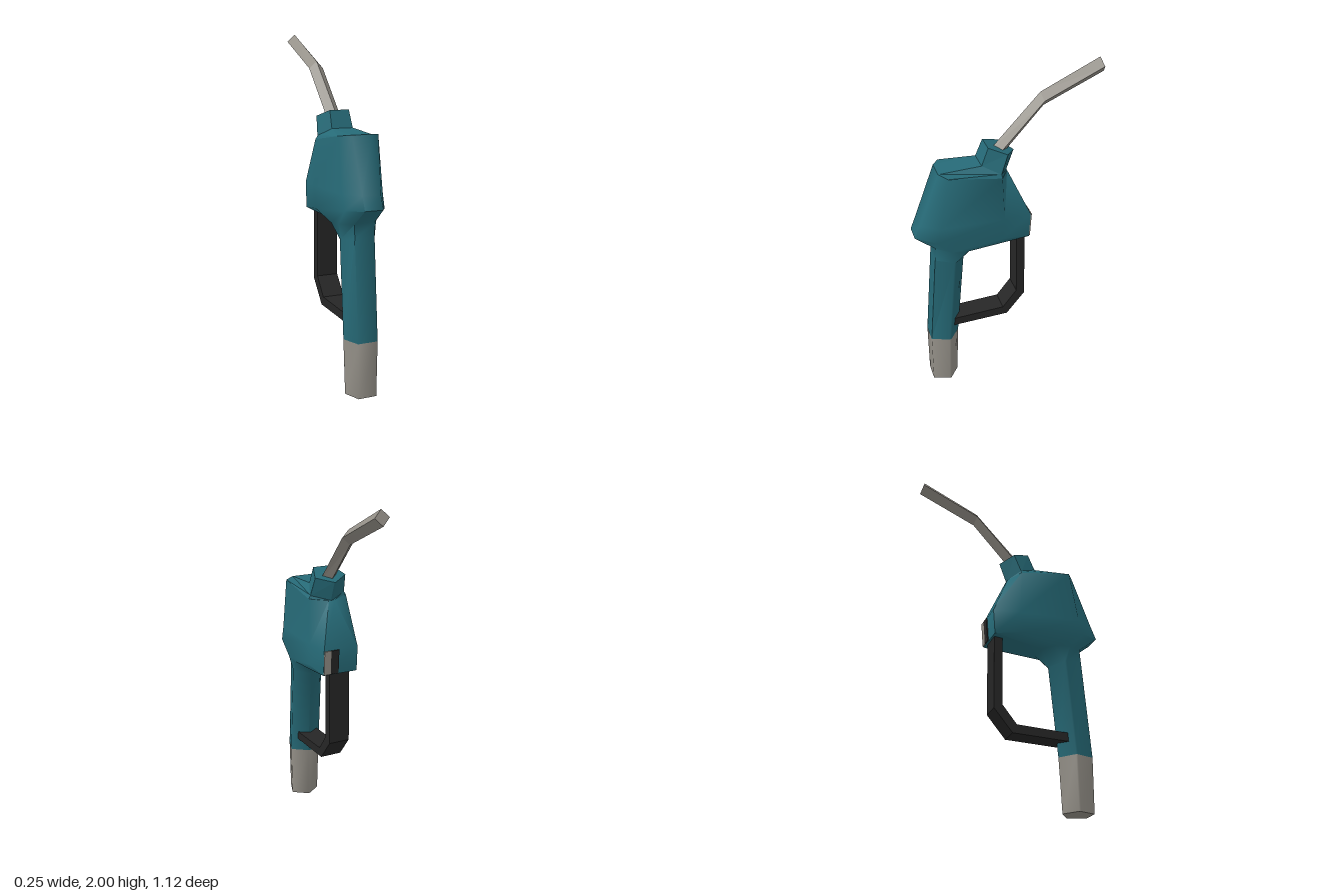
import * as THREE from 'three';
import { toCreasedNormals } from 'three/addons/utils/BufferGeometryUtils.js';

const teal = new THREE.MeshStandardMaterial({ color: 0x266a77 });
teal.name = 'teal paint';
const metal = new THREE.MeshStandardMaterial({ color: 0x949088 });
metal.name = 'grey metal';
const black = new THREE.MeshStandardMaterial({ color: 0x262626 });
black.name = 'black plastic';

// Mirrored cross-section from front point (zf, yf) to back point (zb, yb).
// hf, hw, hb: half widths at front, sides and back; the sides run from t1 to t2.
function ring([zf, yf, zb, yb, hf, hw, hb, t1, t2]) {
  const at = (x, t) => new THREE.Vector3(x, yf + (yb - yf) * t, zf + (zb - zf) * t);
  const pts = [at(hf, 0), at(hw, t1), at(hw, t2), at(hb, 1), at(-hb, 1), at(-hw, t2), at(-hw, t1), at(-hf, 0)];
  return pts.filter((p, i) => p.distanceTo(pts[(i + 1) % 8]) > 1e-5);
}

// Skin a stack of cross-sections and close both ends
function loft(sections, crease) {
  const rings = sections.map(ring);
  const n = rings[0].length, pos = [];
  const tri = (...v) => v.forEach((p) => pos.push(p.x, p.y, p.z));
  for (let i = 0; i < rings.length - 1; i++) {
    for (let j = 0; j < n; j++) {
      const k = (j + 1) % n;
      const [a, b, c, d] = [rings[i][j], rings[i][k], rings[i + 1][k], rings[i + 1][j]];
      tri(a, b, c);
      tri(a, c, d);
    }
  }
  const bottom = rings[0], top = rings[rings.length - 1];
  for (let j = 1; j < n - 1; j++) {
    tri(bottom[0], bottom[j + 1], bottom[j]);
    tri(top[0], top[j], top[j + 1]);
  }
  const geo = new THREE.BufferGeometry();
  geo.setAttribute('position', new THREE.Float32BufferAttribute(pos, 3));
  geo.computeVertexNormals();
  return crease ? toCreasedNormals(geo, crease) : geo;
}

export function createModel() {
  const model = new THREE.Group();
  const add = (name, geo, mat) => {
    const mesh = new THREE.Mesh(geo, mat);
    mesh.name = name;
    model.add(mesh);
    return mesh;
  };

  // Five-sided metal sleeve at the foot of the grip
  const gripFoot = [0.5, 0.32, 0.32, 0.32, 0.06, 0.095, 0.008, 0.58, 0.64];
  add('hoseSleeve', loft([
    [0.5, 0, 0.335, 0, 0.055, 0.088, 0.008, 0.58, 0.64],
    gripFoot,
  ], 1.3), metal);

  // Grip flaring into the wide valve housing
  const shoulder = [0.41, 1.46, 0.005, 1.4, 0.06, 0.12, 0.02, 0.1, 0.86];
  add('gripAndHousing', loft([
    gripFoot,
    [0.452, 0.9, 0.27, 0.87, 0.06, 0.095, 0.01, 0.58, 0.64],
    [0.445, 0.98, 0.21, 0.955, 0.06, 0.115, 0.06, 0.35, 0.75],
    [0.56, 1.07, -0.1, 0.99, 0.055, 0.122, 0.108, 0.17, 0.75],
    [0.53, 1.145, -0.11, 1.14, 0.055, 0.123, 0.108, 0.17, 0.75],
    shoulder,
  ], 1.25), teal);

  // Sloping top of the housing and the five-sided collar
  const collarFoot = [0.165, 1.475, 0.005, 1.4, 0.065, 0.108, 0.006, 0.6, 0.64];
  add('housingTop', loft([shoulder, collarFoot]), teal);
  add('collar', loft([
    collarFoot,
    [0.125, 1.575, -0.037, 1.515, 0.059, 0.096, 0.004, 0.61, 0.63],
  ]), teal);

  // Bent square spout standing on its edge
  add('spout', loft([
    [0.12, 1.51, 0.05, 1.47],
    [-0.19, 1.84, -0.21, 1.76],
    [-0.53, 2.0, -0.555, 1.915],
  ].map((s) => [...s, 0, 0.044, 0, 0.5, 0.5])), metal);

  // Bent guard from the housing down to the grip, drawn in the side plane
  const outline = [
    [-0.09, 1.02], [-0.09, 0.55], [0.02, 0.415], [0.36, 0.4],
    [0.36, 0.45], [0.045, 0.467], [-0.04, 0.575], [-0.04, 1.02],
  ];
  const guard = new THREE.ExtrudeGeometry(
    new THREE.Shape(outline.map(([z, y]) => new THREE.Vector2(z, y))),
    { depth: 0.13, bevelEnabled: false },
  );
  guard.translate(0, 0, -0.065).rotateY(-Math.PI / 2);
  add('leverGuard', guard, black);

  // Thin plates on the back of the housing
  const plate = (name, x0, x1, mat) => {
    const mesh = add(name, new THREE.BoxGeometry(x1 - x0, 0.145, 0.008), mat);
    mesh.position.set((x0 + x1) / 2, 1.067, -0.108);
    mesh.rotation.x = -0.067;
  };
  plate('guardTab', 0.014, 0.065, black);
  plate('guardTabEdge', 0.065, 0.107, metal);

  return model;
}
